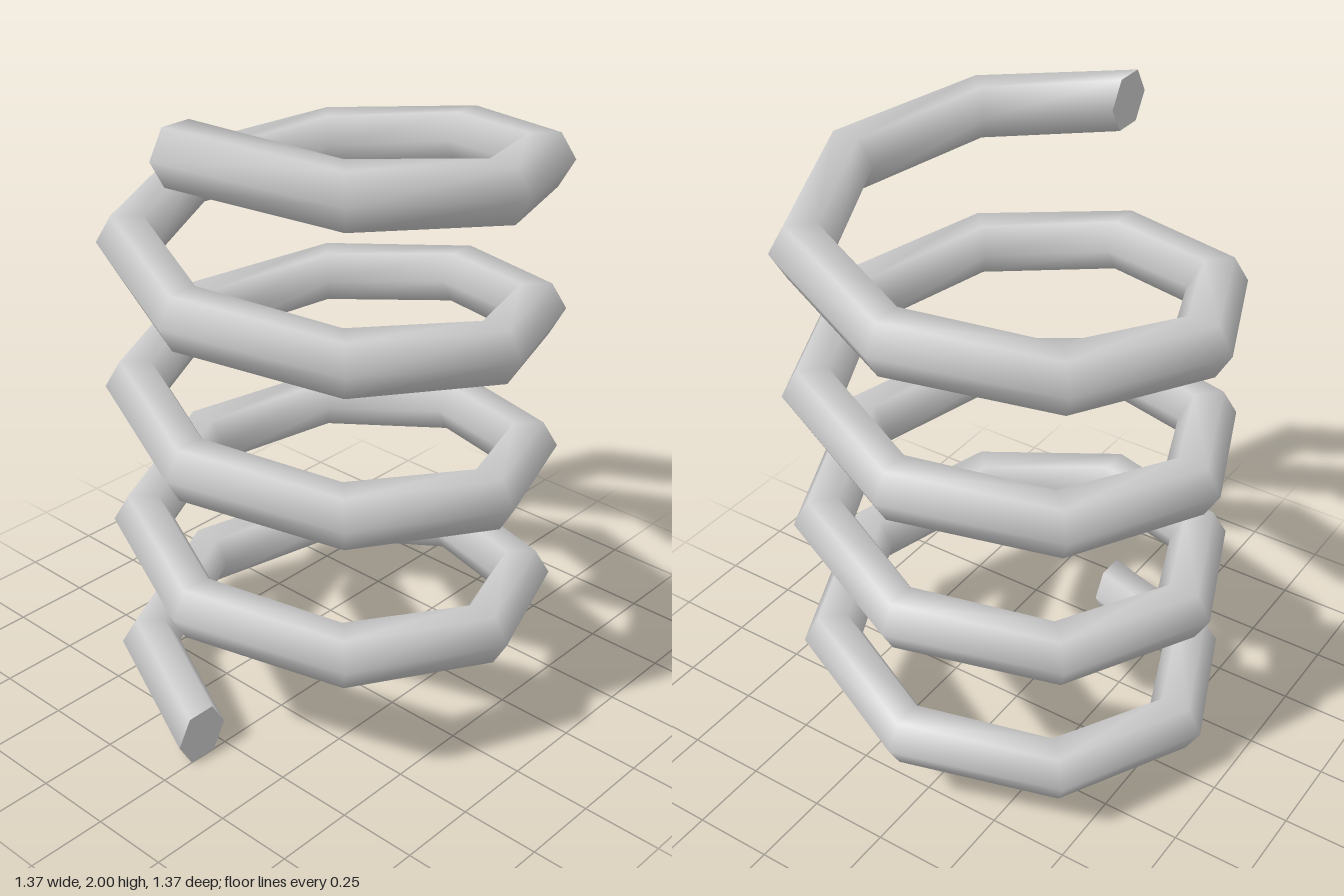
import * as THREE from 'three';

const TURNS = 4, STEPS = 8, SIDES = 6;
const COIL_R = 0.5925, WIRE_R = 0.0925;
const Y0 = WIRE_R * Math.sin(Math.PI / 3), Y1 = 2 - Y0;

// Helix wire: hexagonal sections standing in vertical planes through the axis
function coilGeometry() {
  const pos = [], index = [];
  const rings = TURNS * STEPS;
  for (let i = 0; i <= rings; i++) {
    const t = (i / STEPS) * Math.PI * 2;
    const y = Y0 + (Y1 - Y0) * (i / rings);
    for (let j = 0; j < SIDES; j++) {
      const a = (j / SIDES) * Math.PI * 2;
      const radius = COIL_R + WIRE_R * Math.cos(a);
      pos.push(-Math.sin(t) * radius, y + WIRE_R * Math.sin(a), Math.cos(t) * radius);
      if (i === rings) continue;
      const k = (j + 1) % SIDES;
      const p = i * SIDES + j, q = i * SIDES + k;
      index.push(p, q, p + SIDES, q, q + SIDES, p + SIDES);
    }
  }
  const geo = new THREE.BufferGeometry();
  geo.setAttribute('position', new THREE.Float32BufferAttribute(pos, 3));
  geo.setIndex(index);
  geo.computeVertexNormals();
  return geo;
}

export function createModel() {
  const group = new THREE.Group();
  group.name = 'coilSpring';
  const material = new THREE.MeshStandardMaterial({ color: 0xcccccc });

  const coil = new THREE.Mesh(coilGeometry(), material);
  coil.name = 'coil';
  group.add(coil);

  // Flat hexagonal caps on the two cut ends
  for (const [name, y, side] of [['bottomEnd', Y0, 1], ['topEnd', Y1, -1]]) {
    const cap = new THREE.Mesh(new THREE.CircleGeometry(WIRE_R, SIDES), material);
    cap.name = name;
    cap.position.set(0, y, COIL_R);
    cap.rotation.y = side * Math.PI / 2;
    group.add(cap);
  }
  return group;
}
